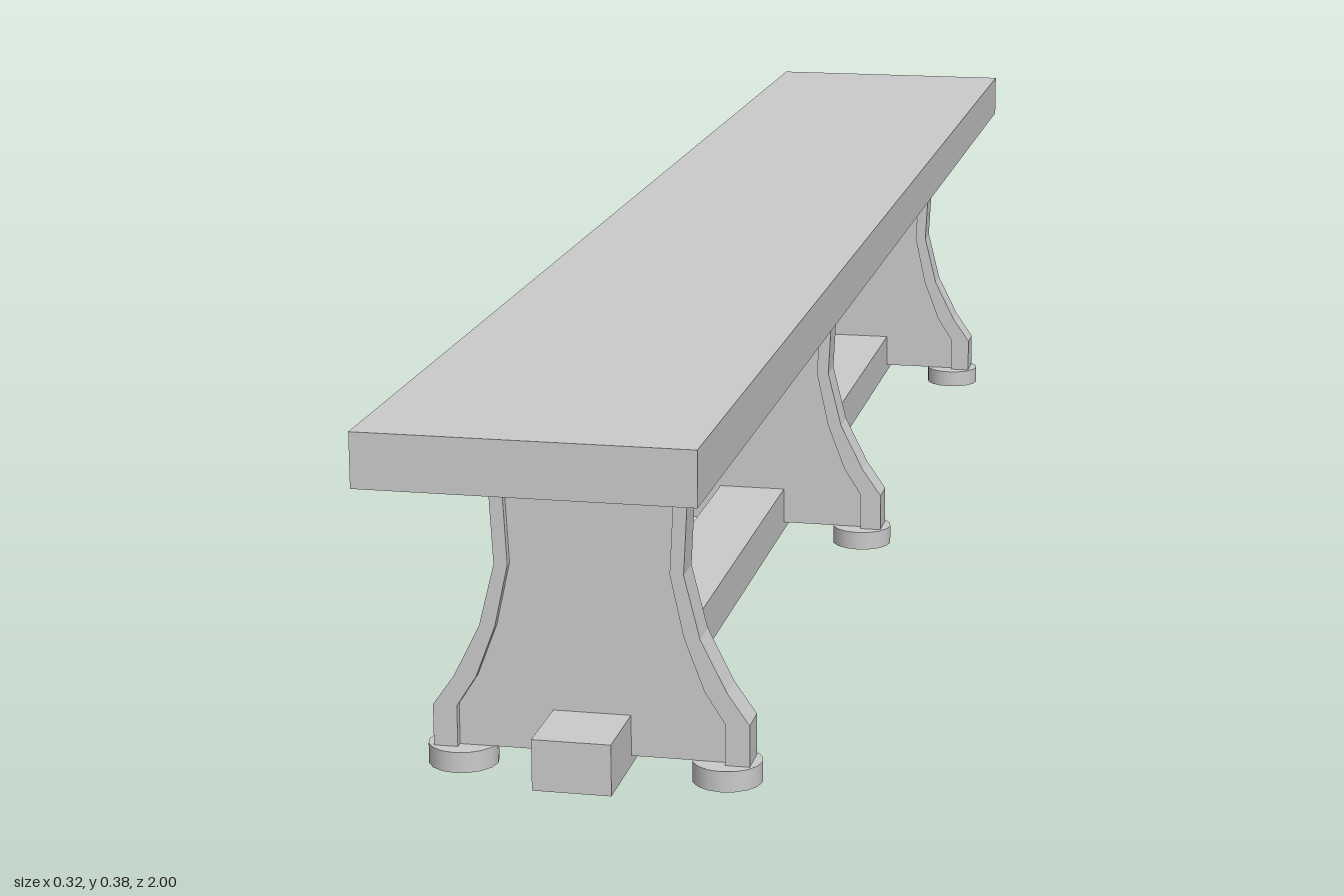
import * as THREE from 'three';

const material = new THREE.MeshStandardMaterial({ color: 0xcccccc, flatShading: true });
const footMaterial = new THREE.MeshStandardMaterial({ color: 0xcccccc, side: THREE.DoubleSide });

// Half-outlines of a trestle, from the floor up: [x, y]
const outer = [[0.15, 0.02], [0.15, 0.06], [0.129, 0.09], [0.104, 0.14], [0.089, 0.2], [0.094, 0.295], [0.103, 0.332]];
const inner = [[0.127, 0.02], [0.127, 0.06], [0.108, 0.09], [0.089, 0.14], [0.076, 0.2], [0.081, 0.295], [0.088, 0.332]];

const mirror = (points) => points.map(([x, y]) => [-x, y]);

function addMesh(parent, name, geometry, x = 0, y = 0, z = 0, mat = material) {
  const mesh = new THREE.Mesh(geometry, mat);
  mesh.name = name;
  mesh.position.set(x, y, z);
  parent.add(mesh);
  return mesh;
}

// Board cut to an outline and centred on z = 0
function board(points, depth) {
  const shape = new THREE.Shape(points.map(([x, y]) => new THREE.Vector2(x, y)));
  return new THREE.ExtrudeGeometry(shape, { depth, bevelEnabled: false }).translate(0, 0, -depth / 2);
}

// Shallow round cup, open underneath
function footGeometry() {
  const radius = 0.033;
  const profile = [[0, 0.02], [radius, 0.02], [radius, 0.02], [radius, 0]];
  return new THREE.LatheGeometry(profile.map(([r, y]) => new THREE.Vector2(r, y)), 16);
}

function createTrestle(z) {
  const trestle = new THREE.Group();
  trestle.name = 'trestle';
  trestle.position.z = z;

  // Recessed centre panel
  addMesh(trestle, 'panel', board([...inner, ...mirror(inner).reverse()], 0.018));

  // Raised curved edges and feet
  const edge = [...outer, ...[...inner].reverse()];
  for (const side of [1, -1]) {
    const label = side > 0 ? 'left' : 'right';
    addMesh(trestle, label + 'Edge', board(side > 0 ? edge : mirror(edge), 0.034));
    addMesh(trestle, label + 'Foot', footGeometry(), side * 0.126, 0, 0, footMaterial);
  }
  return trestle;
}

export function createModel() {
  const bench = new THREE.Group();
  bench.name = 'bench';

  addMesh(bench, 'seat', new THREE.BoxGeometry(0.3, 0.05, 2), 0, 0.356, 0);
  addMesh(bench, 'stretcher', new THREE.BoxGeometry(0.074, 0.049, 1.7), 0, 0.035, 0);
  for (const z of [-0.762, 0, 0.762]) bench.add(createTrestle(z));

  return bench;
}
